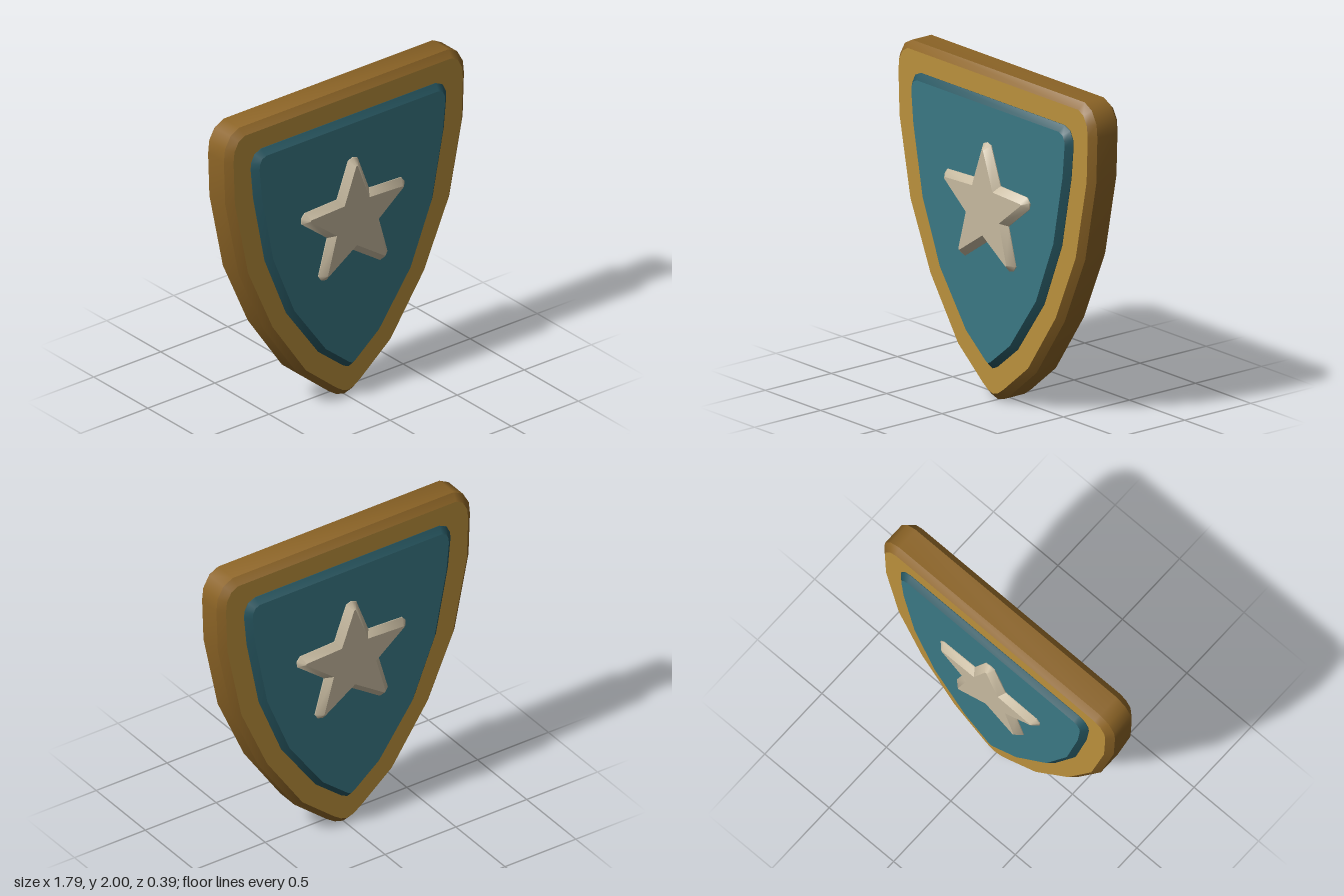
import * as THREE from 'three';
import { toCreasedNormals } from 'three/addons/utils/BufferGeometryUtils.js';

const mat = (name, color) => {
  const m = new THREE.MeshStandardMaterial({ color });
  m.name = name;
  return m;
};

// Mirror a right-hand outline (top to bottom) whose last point lies on x = 0
function mirrored(half) {
  const left = half.slice(0, -1).reverse().map(([x, y]) => [-x, y]);
  return [...half, ...left];
}

// Plate with chamfered rims, centred on z = 0; group 0 is the faces, group 1 the rim
function plate(name, points, halfDepth, chamfer, faceMat, rimMat) {
  const shape = new THREE.Shape(points.map(([x, y]) => new THREE.Vector2(x, y)));
  const depth = 2 * (halfDepth - chamfer);
  const geometry = new THREE.ExtrudeGeometry(shape, {
    depth,
    bevelEnabled: true,
    bevelThickness: chamfer,
    bevelSize: chamfer,
    bevelOffset: -chamfer,
    bevelSegments: 1,
  });
  geometry.translate(0, 0, -depth / 2);
  const mesh = new THREE.Mesh(toCreasedNormals(geometry, 0.6), [faceMat, rimMat]);
  mesh.name = name;
  return mesh;
}

// Five-armed star, each arm ending in a blunt three-point tip
function starPoints(cy) {
  const arm = [[0.035, 0.39], [0, 0.403], [-0.035, 0.39], [-0.119, 0.164]];
  const points = [];
  for (let i = 0; i < 5; i++) {
    const a = (i * Math.PI * 2) / 5;
    const c = Math.cos(a), s = Math.sin(a);
    for (const [x, y] of arm) points.push([x * c - y * s, cy + x * s + y * c]);
  }
  return points;
}

export function createModel() {
  const gold = mat('gold', 0xba903c);
  const darkGold = mat('dark gold', 0x8c6426);
  const teal = mat('teal', 0x3a7884);
  const darkTeal = mat('dark teal', 0x26555f);
  const ivory = mat('ivory', 0xc6b99f);

  const frameOutline = mirrored([
    [0.78, 2.0], [0.845, 1.965], [0.887, 1.89], [0.895, 1.81], [0.885, 1.53],
    [0.785, 1.04], [0.6, 0.62], [0.345, 0.245], [0.115, 0.055], [0.06, 0.018], [0, 0],
  ]);
  const panelOutline = mirrored([
    [0.65, 1.838], [0.7, 1.815], [0.725, 1.765], [0.728, 1.72], [0.71, 1.53],
    [0.625, 1.095], [0.465, 0.7], [0.225, 0.365], [0.04, 0.215], [0, 0.197],
  ]);

  const shield = new THREE.Group();
  shield.name = 'shield';
  shield.add(
    plate('frame', frameOutline, 0.113, 0.04, gold, darkGold),
    plate('panel', panelOutline, 0.152, 0.036, teal, darkTeal),
    plate('star', starPoints(1.18), 0.195, 0.038, ivory, ivory),
  );
  return shield;
}
